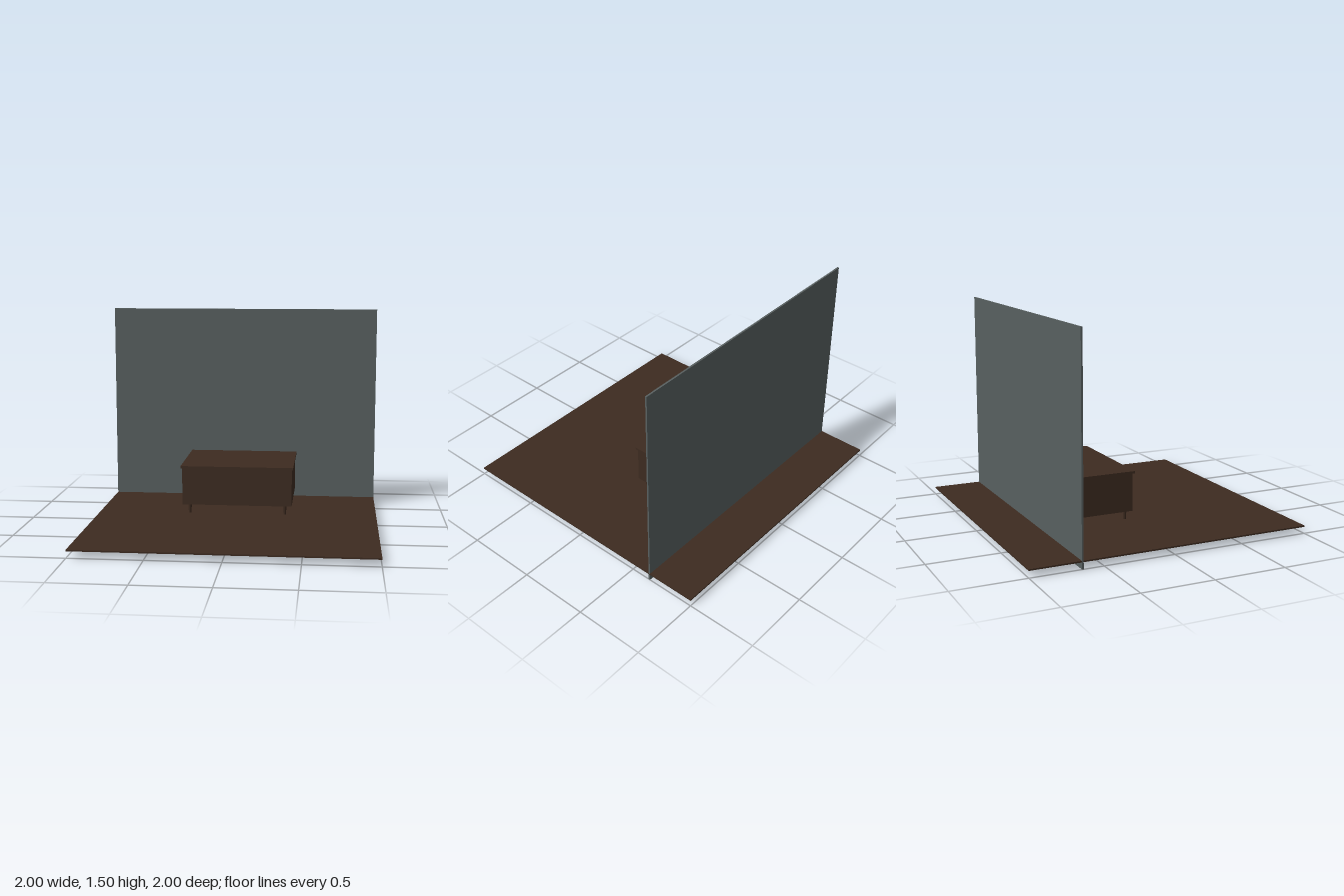
import * as THREE from 'three';

export function createModel() {
  const model = new THREE.Group();
  const wood = new THREE.MeshStandardMaterial({ color: 0x3d2b20 });
  wood.name = 'dark wood';
  const paint = new THREE.MeshStandardMaterial({ color: 0x586060 });
  paint.name = 'grey wall paint';

  const add = (parent, name, geometry, material, x, y, z) => {
    const mesh = new THREE.Mesh(geometry, material);
    mesh.name = name;
    mesh.position.set(x, y, z);
    parent.add(mesh);
  };
  const box = (w, h, d) => new THREE.BoxGeometry(w, h, d);

  // Room: floor slab and the wall that passes through it
  add(model, 'floor', box(2, 0.01, 2), wood, 0, 0.051, 0);
  add(model, 'wall', box(2, 1.5, 0.012), paint, 0, 0.75, -0.645);

  // Chest: body, overhanging lid and four tapered legs
  const chest = new THREE.Group();
  chest.name = 'chest';
  chest.position.z = -0.308;
  model.add(chest);
  add(chest, 'chestBody', box(0.79, 0.268, 0.61), wood, 0, 0.257, 0);
  add(chest, 'chestLid', box(0.81, 0.016, 0.634), wood, 0, 0.399, 0);

  const leg = new THREE.CylinderGeometry(0.014, 0.009, 0.068, 24);
  for (const x of [-0.344, 0.344]) {
    for (const z of [-0.268, 0.268]) add(chest, 'chestLeg', leg, wood, x, 0.09, z);
  }
  return model;
}
